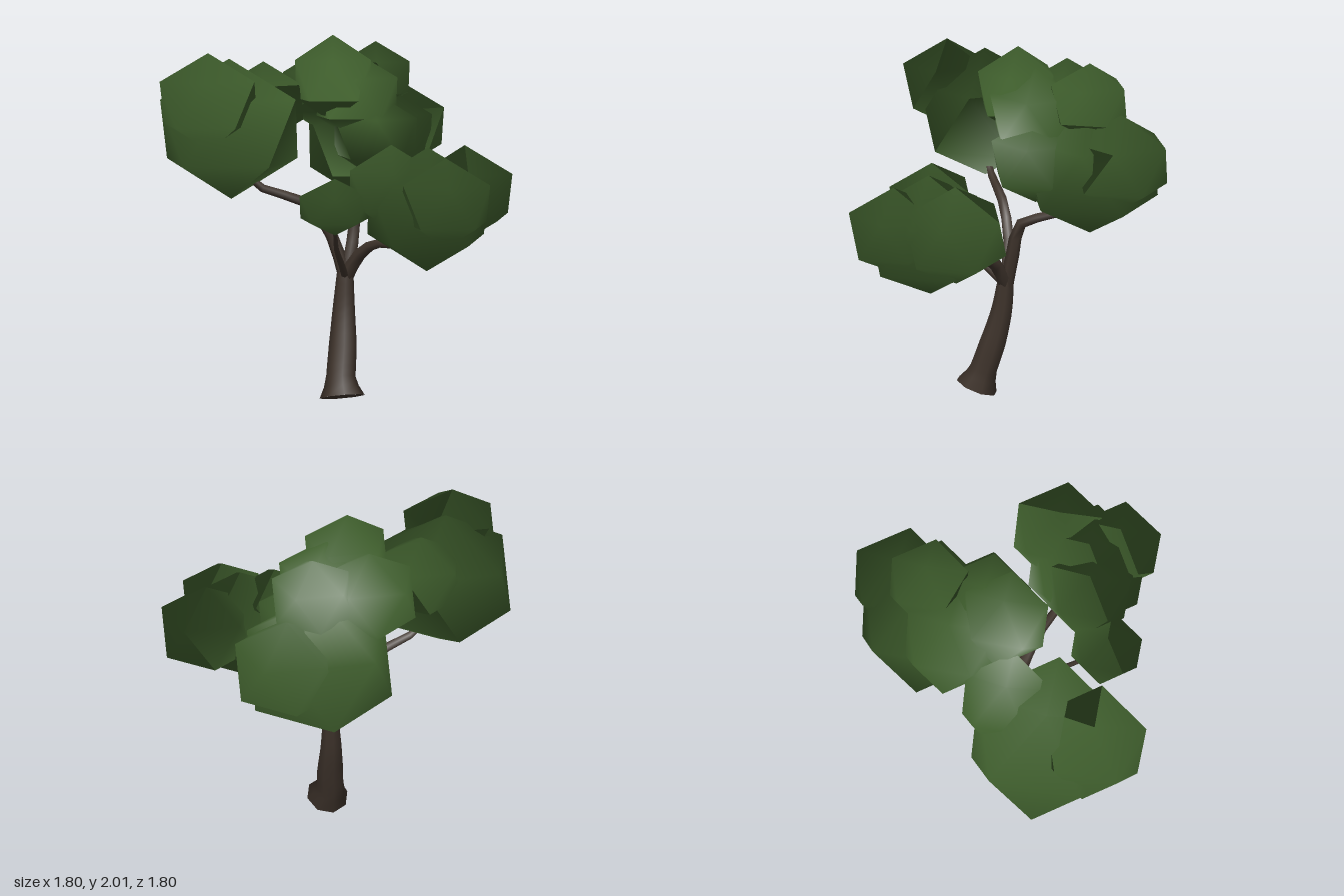
import * as THREE from 'three';

const V = (a) => new THREE.Vector3(...a);

// Tapered limb along a smooth path; each point is [x, y, z, radius]
function limbGeometry(points, segments, sides) {
  const curve = new THREE.CatmullRomCurve3(points.map((p) => V(p.slice(0, 3))));
  const geo = new THREE.TubeGeometry(curve, segments, 1, sides);
  const pos = geo.attributes.position;
  const v = new THREE.Vector3();
  for (let i = 0; i <= segments; i++) {
    const centre = curve.getPointAt(i / segments);
    const f = curve.getUtoTmapping(i / segments) * (points.length - 1);
    const k = Math.min(Math.floor(f), points.length - 2);
    const radius = THREE.MathUtils.lerp(points[k][3], points[k + 1][3], f - k);
    for (let j = 0; j <= sides; j++) {
      const n = i * (sides + 1) + j;
      v.fromBufferAttribute(pos, n).sub(centre).multiplyScalar(radius).add(centre);
      pos.setXYZ(n, v.x, v.y, v.z);
    }
  }
  return { geo, curve };
}

// Twenty-sided leaf ball, slightly flattened; its normals fan out from the middle of the crown
const crownCentre = V([0, 1.4, -0.1]);
function leafGeometry([x, y, z, r, squash = 0.9]) {
  const geo = new THREE.IcosahedronGeometry(r, 0);
  geo.rotateX(-Math.atan((1 + Math.sqrt(5)) / 2)); // one corner points straight up
  geo.rotateY(Math.PI / 2); // an upper corner points to +x
  geo.scale(1, squash, 1).translate(x, y, z);
  const pos = geo.attributes.position;
  const n = new THREE.Vector3();
  for (let i = 0; i < pos.count; i++) {
    n.fromBufferAttribute(pos, i).sub(crownCentre).normalize();
    geo.attributes.normal.setXYZ(i, n.x, n.y, n.z);
  }
  return geo;
}

export function createModel() {
  const bark = new THREE.MeshStandardMaterial({ color: 0x3f342c });
  bark.name = 'bark';
  const leaves = new THREE.MeshStandardMaterial({ color: 0x3e5d2c });
  leaves.name = 'leaves';

  const tree = new THREE.Group();
  tree.name = 'tree';
  const add = (parent, geo, material, name) => {
    const mesh = new THREE.Mesh(geo, material);
    mesh.name = name;
    parent.add(mesh);
    return mesh;
  };

  // Leaning trunk with a flared, tilted foot
  const trunk = limbGeometry([
    [-0.15, 0.037, -0.005, 0.125], [-0.128, 0.12, -0.03, 0.082], [-0.075, 0.3, -0.055, 0.078],
    [-0.03, 0.5, -0.08, 0.062], [-0.005, 0.7, -0.088, 0.046],
  ], 12, 8);
  add(tree, trunk.geo, bark, 'trunk');
  const foot = add(tree, new THREE.CircleGeometry(0.125, 8), bark, 'trunkFoot');
  foot.position.copy(trunk.curve.getPointAt(0));
  foot.lookAt(foot.position.clone().sub(trunk.curve.getTangentAt(0)));

  // Branches, one to each leaf cluster
  const branches = {
    frontBranch: [[-0.005, 0.67, -0.085, 0.04], [-0.01, 0.8, 0, 0.036], [-0.02, 0.885, 0.12, 0.028],
      [-0.05, 0.91, 0.33, 0.022], [-0.09, 1.0, 0.48, 0.015]],
    leftBranch: [[0, 0.67, -0.085, 0.04], [0.05, 0.88, -0.075, 0.037], [0.09, 1.04, -0.08, 0.032],
      [0.28, 1.12, -0.14, 0.025], [0.42, 1.22, -0.2, 0.015]],
    backBranch: [[-0.005, 0.67, -0.085, 0.04], [-0.03, 0.9, -0.16, 0.034], [-0.12, 1.08, -0.25, 0.03],
      [-0.32, 1.19, -0.44, 0.022], [-0.42, 1.35, -0.55, 0.015]],
    rightTwig: [[-0.01, 0.67, -0.08, 0.022], [-0.13, 0.79, -0.03, 0.018], [-0.22, 0.87, 0.01, 0.015],
      [-0.4, 1.08, 0.13, 0.01]],
  };
  for (const [name, points] of Object.entries(branches)) {
    add(tree, limbGeometry(points, 8, 6).geo, bark, name);
  }

  // Leaf clusters; each ball is [x, y, z, radius, squash]
  const clusters = {
    frontLeaves: [[-0.11, 1.12, 0.51, 0.36], [0.108, 1.185, 0.6, 0.285], [-0.21, 1.18, 0.68, 0.255],
      [-0.2, 1.23, 0.345, 0.25]],
    smallRightLeaves: [[-0.42, 1.14, 0.145, 0.21, 0.7]],
    backRightLeaves: [[-0.645, 1.66, -0.5, 0.286], [-0.42, 1.5, -0.55, 0.42], [-0.18, 1.63, -0.51, 0.25]],
    leftLeaves: [[0.44, 1.38, -0.23, 0.41], [0.645, 1.455, -0.15, 0.286], [0.013, 1.76, -0.18, 0.24, 1],
      [0.437, 1.75, -0.19, 0.225], [0.2, 1.68, -0.385, 0.265], [0.21, 1.44, -0.035, 0.265],
      [0.15, 1.66, -0.13, 0.27]],
  };
  for (const [name, balls] of Object.entries(clusters)) {
    const cluster = new THREE.Group();
    cluster.name = name;
    balls.forEach((ball) => add(cluster, leafGeometry(ball), leaves, 'leafBall'));
    tree.add(cluster);
  }
  return tree;
}
